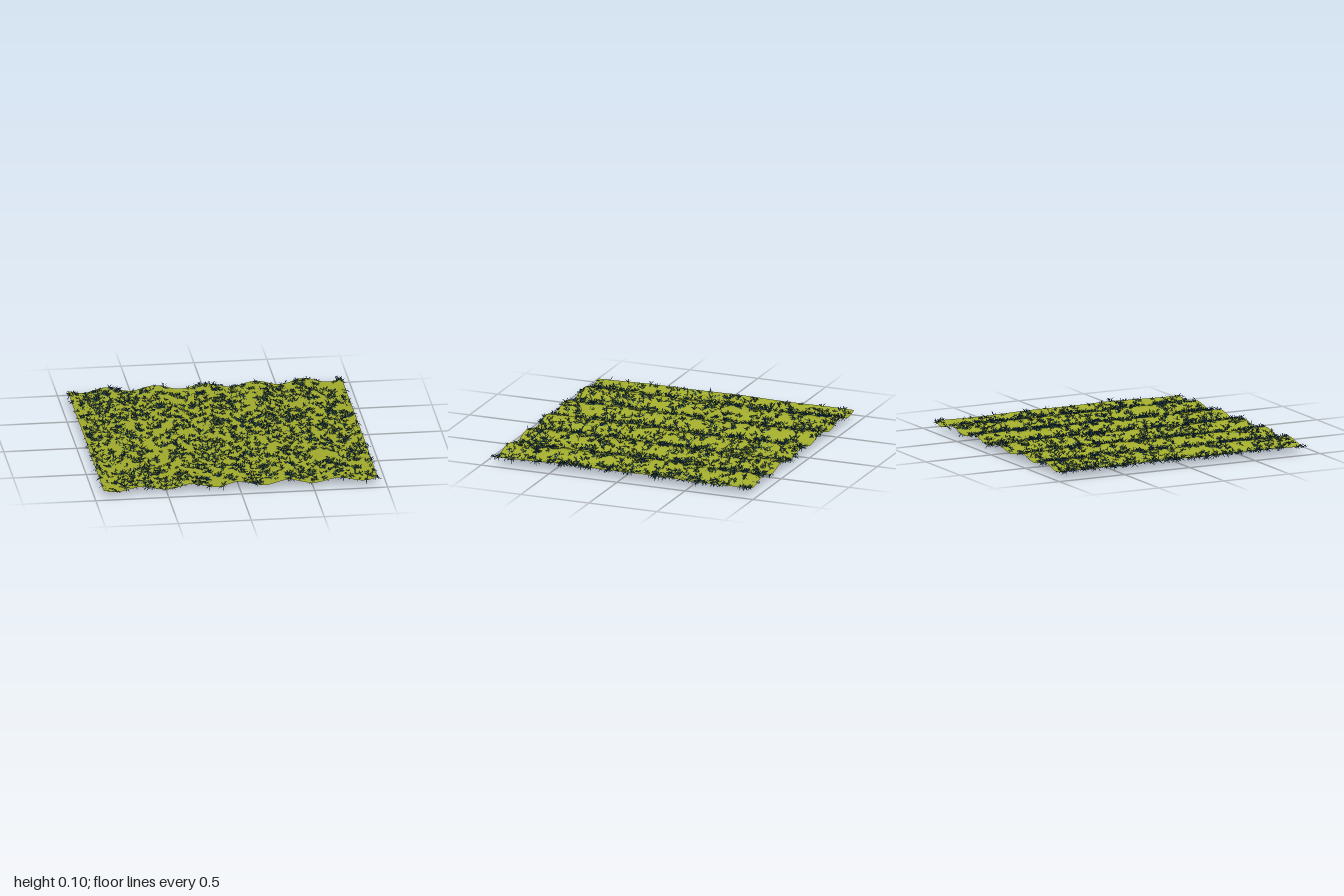
import * as THREE from 'three';

const HALF = 0.94;

// Small seeded generator for repeatable scattering
function seeded(seed) {
  return () => {
    seed = (seed * 1664525 + 1013904223) % 4294967296;
    return seed / 4294967296;
  };
}

// Gentle furrows running front to back
function groundHeight(x, z) {
  const drift = 0.012 * Math.sin(3.1 * z + 1.5 * x);
  return 0.066 + 0.016 * Math.cos(6 * Math.PI * (x + drift))
    + 0.002 * Math.sin(9 * z + 4 * x) + 0.0015 * Math.sin(23 * x - 5 * z);
}

function createGround() {
  const geometry = new THREE.PlaneGeometry(HALF * 2, HALF * 2, 72, 36);
  geometry.rotateX(-Math.PI / 2);
  const p = geometry.attributes.position;
  for (let i = 0; i < p.count; i++) p.setY(i, groundHeight(p.getX(i), p.getZ(i)));
  geometry.computeVertexNormals();
  const mesh = new THREE.Mesh(geometry, new THREE.MeshStandardMaterial({
    color: 0xa2ad2c, side: THREE.DoubleSide,
  }));
  mesh.name = 'ground';
  return mesh;
}

// Tufts of narrow, bent, pointed blades spraying out of the ground
function createGrass(name, color, tufts, seed) {
  const rand = seeded(seed);
  const positions = [], indices = [];
  const root = new THREE.Vector3(), dir = new THREE.Vector3();
  const side = new THREE.Vector3(), mid = new THREE.Vector3(), tip = new THREE.Vector3();

  const addBlade = (length, width) => {
    const first = positions.length / 3;
    mid.copy(root).addScaledVector(dir, length * 0.55);
    tip.copy(root).addScaledVector(dir, length);
    tip.y -= length * 0.15;
    for (const [point, w] of [[root, 0.6], [mid, 1]]) {
      for (const s of [-1, 1]) {
        const k = s * w * width / 2;
        positions.push(point.x + side.x * k, point.y + side.y * k, point.z + side.z * k);
      }
    }
    positions.push(tip.x, tip.y, tip.z);
    for (const n of [0, 1, 2, 2, 1, 3, 2, 3, 4]) indices.push(first + n);
  };

  for (let t = 0; t < tufts; t++) {
    const x = (rand() * 2 - 1) * HALF, z = (rand() * 2 - 1) * HALF;
    const y = groundHeight(x, z);
    const blades = 8 + Math.floor(rand() * 4);
    const size = 0.026 + rand() * 0.012;
    for (let b = 0; b < blades; b++) {
      const turn = (b + rand()) / blades * Math.PI * 2;
      const lift = -0.65 + rand() * 1.75;
      const roll = (rand() - 0.5) * 2;
      root.set(x + (rand() - 0.5) * 0.014, y, z + (rand() - 0.5) * 0.014);
      dir.set(Math.cos(turn) * Math.cos(lift), Math.sin(lift), Math.sin(turn) * Math.cos(lift));
      side.set(-Math.sin(turn), 0, Math.cos(turn)).applyAxisAngle(dir, roll);
      addBlade(size * (0.75 + rand() * 0.5), 0.0055);
    }
  }

  const geometry = new THREE.BufferGeometry();
  geometry.setAttribute('position', new THREE.Float32BufferAttribute(positions, 3));
  geometry.setIndex(indices);
  geometry.computeVertexNormals();
  const mesh = new THREE.Mesh(geometry, new THREE.MeshStandardMaterial({
    color, side: THREE.DoubleSide,
  }));
  mesh.name = name;
  return mesh;
}

export function createModel() {
  const group = new THREE.Group();
  group.name = 'grassField';
  group.add(createGround());
  group.add(createGrass('grassTufts', 0x1f4763, 1900, 7));
  return group;
}
